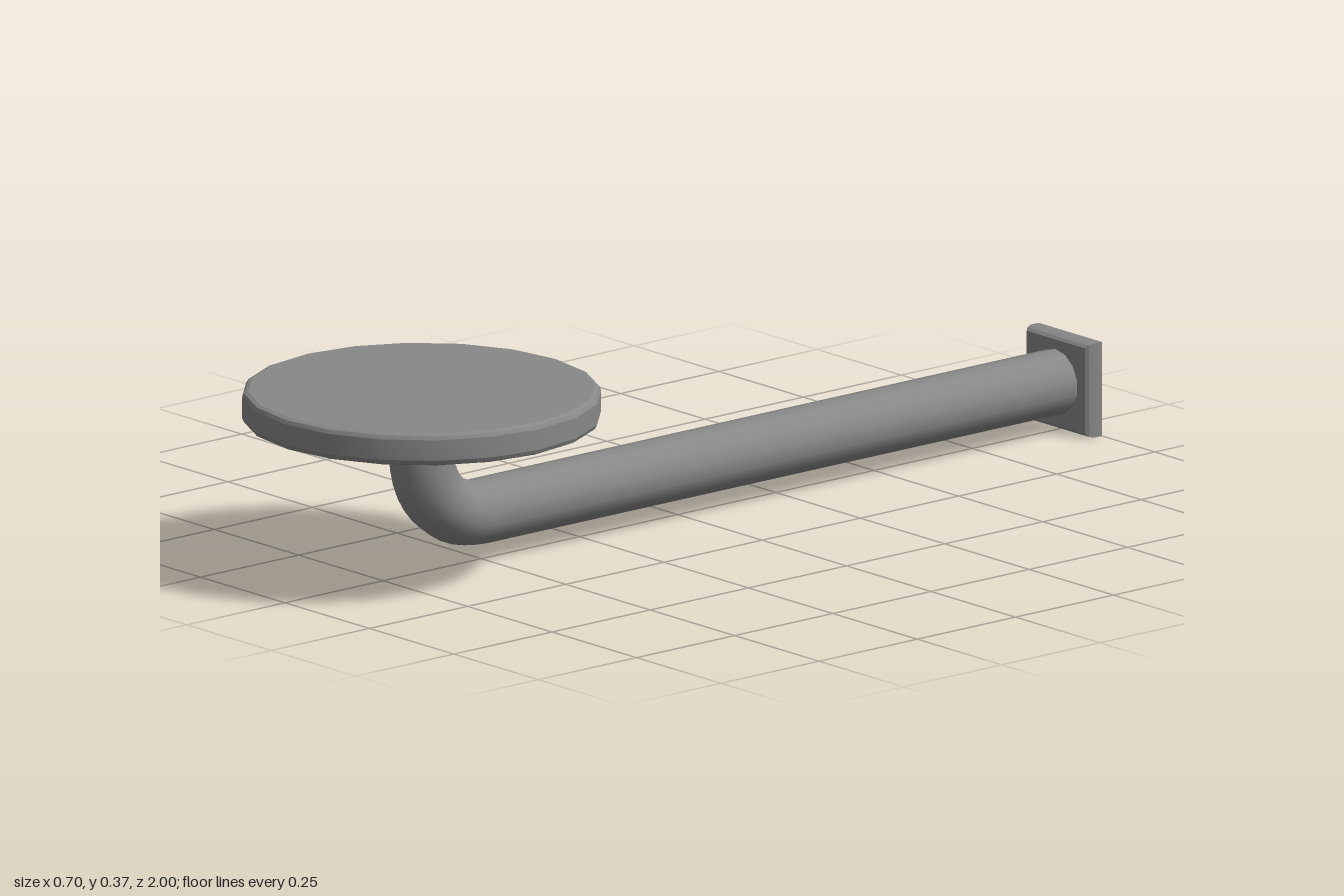
import * as THREE from 'three';
import { mergeGeometries, toCreasedNormals } from 'three/addons/utils/BufferGeometryUtils.js';

const PIPE_R = 0.0645, PIPE_Y = 0.0965, SIDES = 14;
const BEND_R = 0.14, DISC_Z = 0.652;
const BACK_END = -0.978, BEND_Z = DISC_Z - BEND_R, BEND_Y = PIPE_Y + BEND_R;

const profile = (pairs) => pairs.map(([r, y]) => new THREE.Vector2(r, y));

function addMesh(group, name, geometry, side = THREE.FrontSide) {
  const mesh = new THREE.Mesh(geometry, new THREE.MeshStandardMaterial({ color: 0x888888, side }));
  mesh.name = name;
  group.add(mesh);
}

// Straight run, quarter bend and short riser joined into one pipe
function pipeGeometry() {
  const runLength = BEND_Z - BACK_END;
  const run = new THREE.CylinderGeometry(PIPE_R, PIPE_R, runLength, SIDES)
    .rotateX(Math.PI / 2)
    .translate(0, PIPE_Y, BACK_END + runLength / 2);
  const bend = new THREE.TorusGeometry(BEND_R, PIPE_R, SIDES, 10, Math.PI / 2)
    .rotateZ(-Math.PI / 2)
    .rotateY(-Math.PI / 2)
    .translate(0, BEND_Y, BEND_Z);
  const riserLength = 0.31 - BEND_Y;
  const riser = new THREE.CylinderGeometry(PIPE_R, PIPE_R, riserLength, SIDES, 1, true)
    .translate(0, BEND_Y + riserLength / 2, DISC_Z);
  return mergeGeometries([run, bend, riser]);
}

// Round pad with softened rims, flat faces and a smooth side
function discGeometry() {
  const lathe = new THREE.LatheGeometry(profile([
    [0, 0.304], [0.336, 0.304], [0.344, 0.3075], [0.348, 0.316],
    [0.348, 0.357], [0.344, 0.3645], [0.336, 0.368], [0, 0.368],
  ]), 20);
  return toCreasedNormals(lathe, 0.33).translate(0, 0, DISC_Z);
}

// Square wall plate: a thin shell, bevelled in front and open at the back
function plateGeometry() {
  const d = Math.SQRT2;
  const lathe = new THREE.LatheGeometry(profile([
    [0.094 * d, 0], [0.094 * d, 0.02], [0.091 * d, 0.031], [0.086 * d, 0.037], [0, 0.037],
  ]), 4);
  return toCreasedNormals(lathe, Math.PI / 9)
    .rotateY(Math.PI / 4)
    .rotateX(Math.PI / 2)
    .translate(0, 0.094, -1);
}

export function createModel() {
  const group = new THREE.Group();
  group.name = 'wallArm';
  addMesh(group, 'pipe', pipeGeometry());
  addMesh(group, 'disc', discGeometry());
  addMesh(group, 'wallPlate', plateGeometry(), THREE.DoubleSide);
  return group;
}
